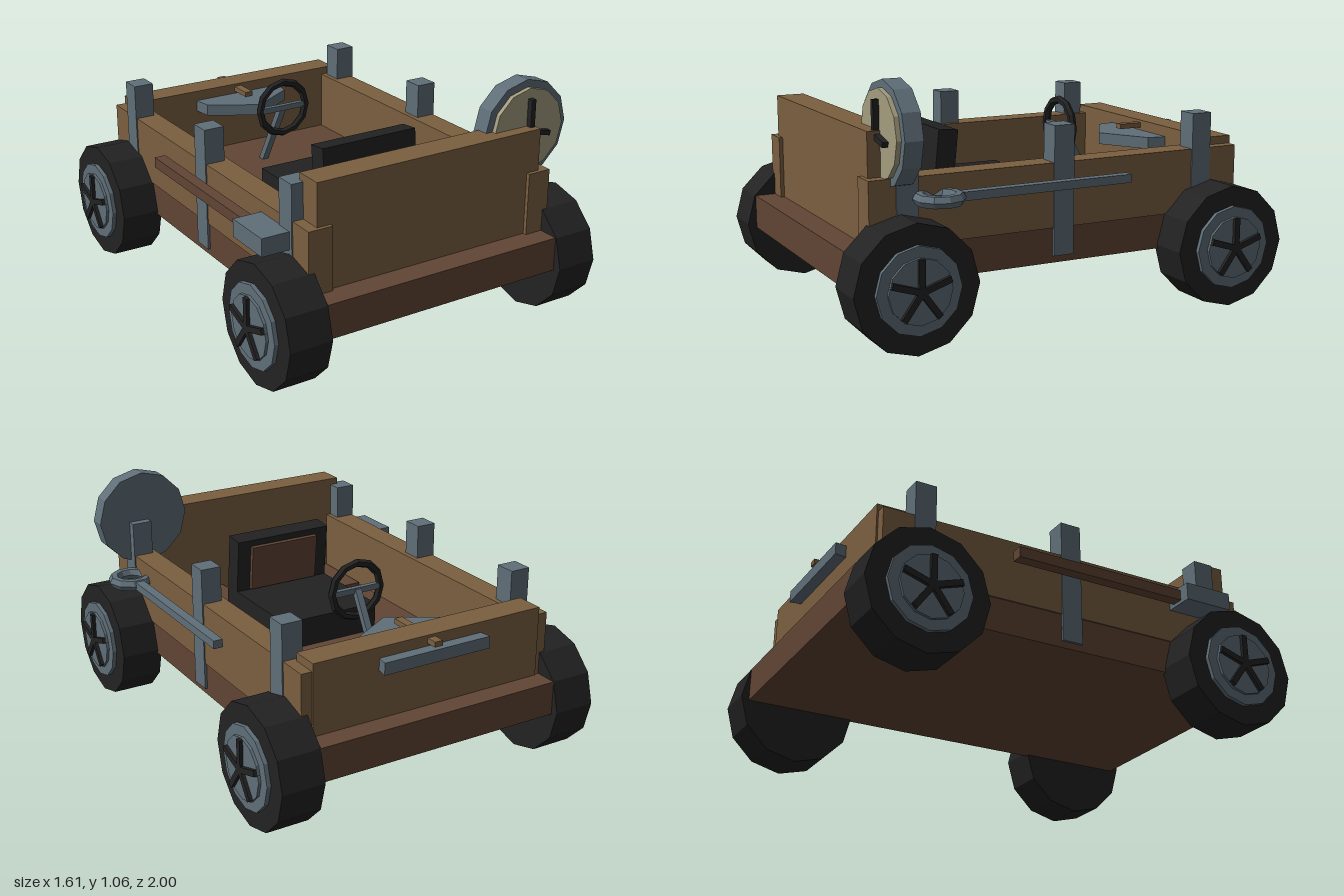
import * as THREE from 'three';

const mat = (name, color) => {
  const m = new THREE.MeshStandardMaterial({ color });
  m.name = name;
  m.flatShading = true;
  return m;
};

export function createModel() {
  const wood = mat('light wood', 0x7b5f40);
  const brown = mat('dark wood', 0x604534);
  const metal = mat('blue grey metal', 0x5f6e78);
  const black = mat('black rubber', 0x222222);
  const cream = mat('cream dial', 0xa39c7e);

  const root = new THREE.Group();
  root.name = 'woodenCart';

  const add = (name, geo, m, parent = root) => {
    const mesh = new THREE.Mesh(geo, m);
    mesh.name = name;
    parent.add(mesh);
    return mesh;
  };
  // Box given by its extents on each axis
  const box = (name, m, [x0, x1], [y0, y1], [z0, z1], parent = root) => {
    const b = add(name, new THREE.BoxGeometry(x1 - x0, y1 - y0, z1 - z0), m, parent);
    b.position.set((x0 + x1) / 2, (y0 + y1) / 2, (z0 + z1) / 2);
    return b;
  };
  // Twelve-sided disc lying along z, from z0 to z1
  const disc = (name, m, r, z0, z1, parent) => {
    const g = new THREE.CylinderGeometry(r, r, z1 - z0, 12).rotateX(Math.PI / 2);
    const d = add(name, g, m, parent);
    d.position.z = (z0 + z1) / 2;
    return d;
  };

  // Body: base, side walls, end panels
  box('base', brown, [-0.59, 0.59], [0.25, 0.4], [-0.965, 0.96]);
  box('frontPanel', wood, [-0.548, 0.548], [0.4, 0.86], [0.725, 0.85]);
  box('backPanel', wood, [-0.548, 0.548], [0.4, 0.71], [-0.87, -0.745]);
  for (const s of [-1, 1]) {
    const wall = box('sideWall', wood, [-0.055, 0.055], [0.4, 0.675], [-0.863, 0.867]);
    wall.position.x = s * 0.541;
    for (const z of [-0.68, 0.003, 0.705]) {
      const post = box('sidePost', metal, [-0.046, 0.046], [0.28, 0.83], [z - 0.047, z + 0.047]);
      post.position.x = s * 0.555;
    }
  }

  // Floor slats behind the seat
  for (let i = -2; i <= 2; i++) {
    box('floorSlat', brown, [i * 0.197 - 0.083, i * 0.197 + 0.083], [0.395, 0.415], [0.4, 0.73]);
  }

  // Wheels, built facing +z and turned outward
  for (const s of [-1, 1]) {
    for (const z of [-0.735, 0.735]) {
      const wheel = new THREE.Group();
      wheel.name = 'wheel';
      disc('tyre', black, 0.265, -0.095, 0.095, wheel);
      disc('rim', metal, 0.18, 0.08, 0.113, wheel);
      disc('hub', metal, 0.135, 0.1, 0.125, wheel);
      for (let i = 0; i < 5; i++) {
        const pivot = new THREE.Group();
        pivot.name = 'spokePivot';
        pivot.rotation.z = (i * Math.PI * 2) / 5;
        box('spoke', black, [-0.013, 0.013], [0, 0.13], [0.115, 0.14], pivot);
        wheel.add(pivot);
      }
      wheel.position.set(s * 0.665, 0.267, z);
      wheel.rotation.y = (s * Math.PI) / 2;
      root.add(wheel);
    }
  }

  // Seat with a slightly tilted backrest
  box('seatCushion', black, [-0.238, 0.235], [0.4, 0.53], [-0.105, 0.36]);
  const back = new THREE.Group();
  back.name = 'backrest';
  box('backrestFrame', black, [-0.237, 0.235], [-0.18, 0.18], [-0.045, 0.045], back);
  box('backrestPanel', brown, [-0.17, 0.17], [-0.06, 0.15], [-0.065, -0.04], back);
  back.position.set(0, 0.603, 0.375);
  back.rotation.x = -0.1;
  root.add(back);

  // Steering wheel and column
  const ring = add('steeringWheel', new THREE.TorusGeometry(0.122, 0.018, 6, 12), black);
  ring.position.set(0, 0.713, -0.315);
  box('steeringBar', metal, [-0.11, 0.11], [0.7, 0.726], [-0.328, -0.305]);
  const column = box('steeringColumn', metal, [-0.015, 0.015], [-0.19, 0.19], [-0.015, 0.015]);
  column.position.set(0, 0.55, -0.415);
  column.rotation.x = 0.52;

  // Pointed dashboard plate passing through the back panel
  const outline = new THREE.Shape(
    [[-0.255, 0.92], [-0.215, 0.66], [0, 0.53], [0.215, 0.66], [0.255, 0.92]]
      .map(([x, y]) => new THREE.Vector2(x, y)));
  const plate = add('dashPlate',
    new THREE.ExtrudeGeometry(outline, { depth: 0.053, bevelEnabled: false }), metal);
  plate.rotation.x = -Math.PI / 2;
  plate.position.y = 0.61;
  box('dashPeg', wood, [-0.019, 0.019], [0.675, 0.698], [-0.92, -0.635]);

  // Dial at the front left corner
  const dial = new THREE.Group();
  dial.name = 'dial';
  disc('dialCase', metal, 0.215, 0.697, 0.775, dial);
  disc('dialFace', cream, 0.182, 0.77, 0.795, dial);
  box('longHand', black, [-0.011, 0.011], [0, 0.138], [0.79, 0.82], dial);
  const hand = box('shortHand', black, [-0.056, 0.056], [-0.011, 0.011], [0.79, 0.82], dial);
  hand.position.x = 0.045;
  hand.position.y = -0.013;
  hand.rotation.z = -0.23;
  dial.position.set(0.53, 0.842, 0);
  root.add(dial);

  // Ring spanner on the left side
  const spanner = add('spannerRing',
    new THREE.TorusGeometry(0.08, 0.027, 6, 10).rotateX(Math.PI / 2), metal);
  spanner.position.set(0.65, 0.592, 0.592);
  box('spannerHandle', metal, [0.628, 0.67], [0.574, 0.61], [-0.28, 0.53]);

  // Hammer on the right side
  box('hammerHead', metal, [-0.725, -0.596], [0.55, 0.628], [0.51, 0.735]);
  box('hammerHandle', brown, [-0.676, -0.625], [0.565, 0.612], [0.52, -0.29].reverse());

  return root;
}
